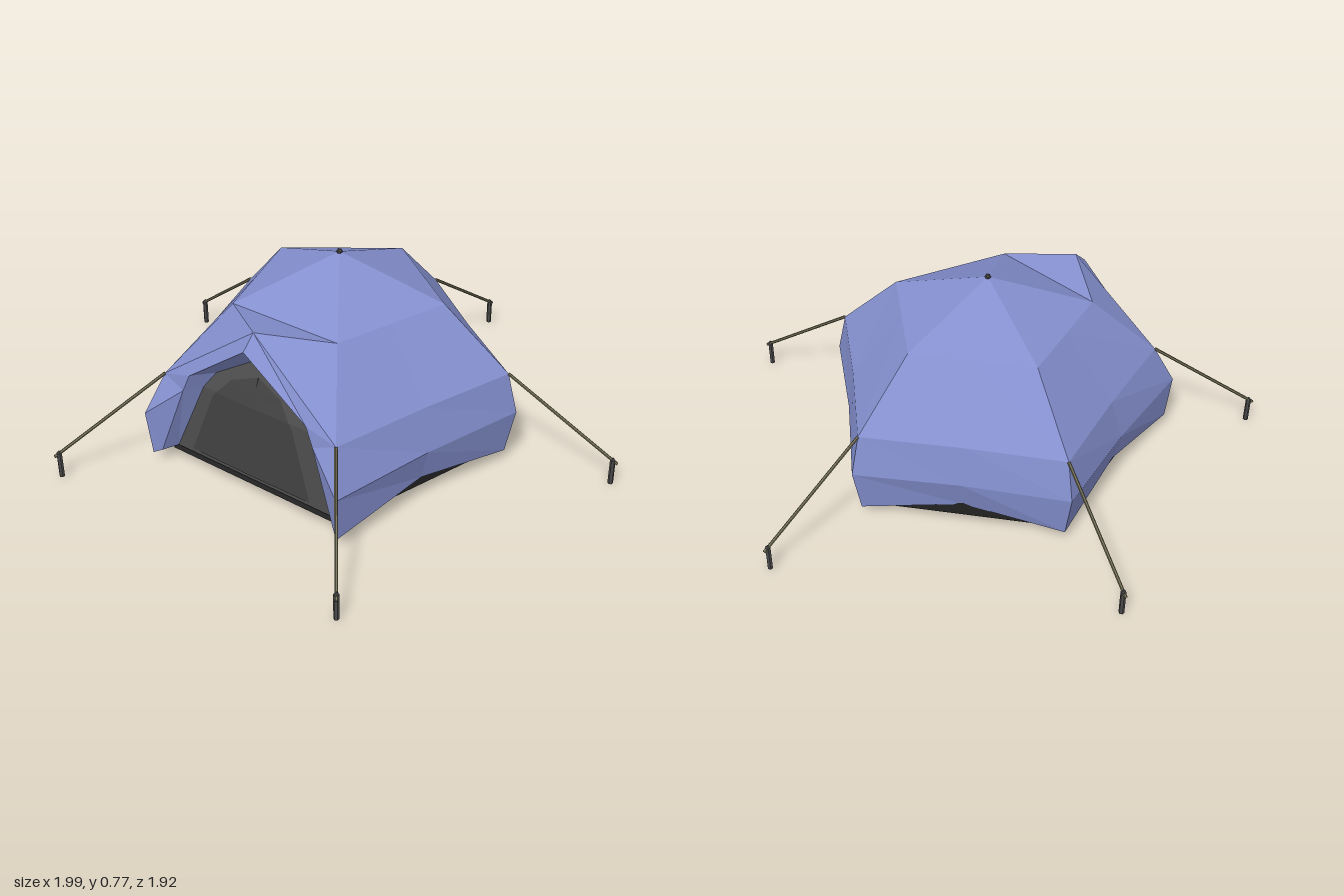
import * as THREE from 'three';

const V = (x, y, z) => new THREE.Vector3(x, y, z);
const CZ = 0.1; // depth of the dome's axis
const mat = (color) => new THREE.MeshStandardMaterial({ color, flatShading: true, roughness: 0.9, side: THREE.DoubleSide });

// triangles of a strip between two equally long point rows
function strip(a, b) {
  const out = [];
  for (let i = 0; i < a.length - 1; i++) out.push(a[i], b[i], b[i + 1], a[i], b[i + 1], a[i + 1]);
  return out;
}

// mirror a triangle list across x = 0, keeping faces outward
function mirrored(tris) {
  const out = [...tris];
  for (let i = 0; i < tris.length; i += 3)
    for (const j of [0, 2, 1]) out.push(V(-tris[i + j].x, tris[i + j].y, tris[i + j].z));
  return out;
}

function mesh(name, tris, material) {
  const g = new THREE.BufferGeometry().setFromPoints(tris);
  g.computeVertexNormals();
  const m = new THREE.Mesh(g, material);
  m.name = name;
  return m;
}

// rod between two points
function rod(name, a, b, r, material) {
  const m = new THREE.Mesh(new THREE.CylinderGeometry(r, r, a.distanceTo(b), 6), material);
  m.position.copy(a).lerp(b, 0.5);
  m.quaternion.setFromUnitVectors(V(0, 1, 0), b.clone().sub(a).normalize());
  m.name = name;
  return m;
}

export function createModel() {
  const model = new THREE.Group();
  model.name = 'domeTent';
  const fabric = mat(0x8590cf), dark = mat(0x232323), grey = mat(0x4c4c4c);
  const doorGrey = mat(0x404040), ropeMat = mat(0x77735a), stakeMat = mat(0x4a4a4a);
  const tent = new THREE.Group();
  tent.name = 'tent';
  tent.position.x = -0.008;
  model.add(tent);

  // pentagon corners: 0 back, 1 left, 2 front left, 3 front right, 4 right
  const ringY = [0.045, 0.22, 0.375, 0.615];
  const backR = [0.635, 0.67, 0.633, 0.39], frontR = [0.717, 0.735, 0.65, 0.392];
  const polar = (k, r, y) => {
    const a = (k * Math.PI * 2) / 5;
    return V(r * Math.sin(a), y, CZ - r * Math.cos(a));
  };
  const isFront = (k) => k % 5 === 2 || k % 5 === 3;
  const corner = (k, row) => polar(k, (isFront(k) ? frontR : backR)[row], ringY[row]);
  const midPoint = (k, row) => {
    const m = corner(k, row).lerp(corner(k + 1, row), 0.5);
    const s = [0.96, 0.975, 0.985, 1][row];
    m.x *= s;
    m.z = CZ + (m.z - CZ) * s;
    if (row === 0) m.y = 0.1; // hem arches up between corners
    return m;
  };
  const apex = V(0, 0.76, CZ);

  // walls and crown of the cover
  const walls = [], crown = [];
  for (let k = 0; k < 5; k++) {
    crown.push(corner(k + 1, 3), corner(k, 3), apex);
    if (k === 2) continue; // entrance side
    for (let row = 0; row < 3; row++) {
      const line = (r) => [corner(k, r), midPoint(k, r), corner(k + 1, r)];
      walls.push(...strip(line(row), line(row + 1)));
    }
  }
  tent.add(mesh('coverWalls', walls, fabric), mesh('coverCrown', crown, fabric));

  // awning: peaked roof, front band and the return to the door wall
  const peak = V(0, 0.65, 0.575), roofMid = V(0, 0.615, corner(2, 3).z);
  const outer = [corner(2, 0), corner(2, 1), corner(2, 2), peak];
  const rim = [V(0.395, 0.055, 0.66), V(0.29, 0.34, 0.635), V(0.26, 0.41, 0.63), V(0, 0.6, 0.63)];
  const wallZ = (y) => (y < 0.34 ? 0.6 - (y - 0.055) * 0.1 : 0.5715 - (y - 0.34) * 0.45);
  const onWall = (x, y, out = 0) => V(x, y, wallZ(y) + out);
  const wallEdge = [[0.37, 0.055], [0.25, 0.34], [0.21, 0.4], [0, 0.52]].map(([x, y]) => onWall(x, y));
  tent.add(
    mesh('awningRoof', mirrored([corner(2, 3), roofMid, peak, corner(2, 3), peak, corner(2, 2)]), fabric),
    mesh('awningBand', mirrored(strip(rim, outer)), fabric),
    mesh('awningLining', mirrored(strip(wallEdge, rim)), fabric),
    mesh('doorWall', mirrored(strip(wallEdge.map((p) => V(0, p.y, p.z)), wallEdge)), grey)
  );

  // door panel with a centre seam, slightly off centre
  const rows = [[0.27, 0.07], [0.18, 0.32], [0.165, 0.34], [0.11, 0.4], [0, 0.44]];
  const door = mesh('door', mirrored(strip(
    rows.map(([, y]) => onWall(0, y, 0.006)), rows.map(([x, y]) => onWall(x, y, 0.003)))), doorGrey);
  door.position.x = -0.025;
  tent.add(door);

  // floor tub seen below the arched hem
  const tub = [];
  const low = (k) => polar(k, isFront(k) ? 0.64 : 0.61, 0.05);
  const high = (k) => polar(k, isFront(k) ? 0.65 : 0.615, 0.17);
  for (let k = 0; k < 5; k++) {
    tub.push(low(k), low(k + 1), V(0, 0.05, CZ));
    if (k !== 2) tub.push(...strip([low(k), low(k + 1)], [high(k), high(k + 1)]));
  }
  tent.add(mesh('floor', tub, dark));

  // crown button
  const button = new THREE.Mesh(new THREE.IcosahedronGeometry(0.012, 0), stakeMat);
  button.position.copy(apex);
  button.name = 'crownButton';
  tent.add(button);

  // guy ropes, each tied to a stake
  const stakes = [[0.012, -0.94], [0.977, -0.205], [0.612, 0.94], [-0.64, 0.94], [-0.977, -0.205]];
  stakes.forEach(([x, z], k) => {
    const guy = new THREE.Group();
    guy.name = 'guyLine' + (k + 1);
    const from = corner(k, 2).add(tent.position);
    const stakeTop = V(x, 0.1, z);
    const end = stakeTop.clone().add(V(x - from.x, 0, z - from.z).setLength(0.017)).setY(0.087);
    guy.add(rod('rope', from, end, 0.006, ropeMat));
    guy.add(rod('stake', V(x, 0, z), stakeTop, 0.01, stakeMat));
    const cap = new THREE.Mesh(new THREE.ConeGeometry(0.01, 0.012, 6), stakeMat);
    cap.position.set(x, 0.106, z);
    cap.name = 'stakeCap';
    guy.add(cap);
    model.add(guy);
  });
  return model;
}
